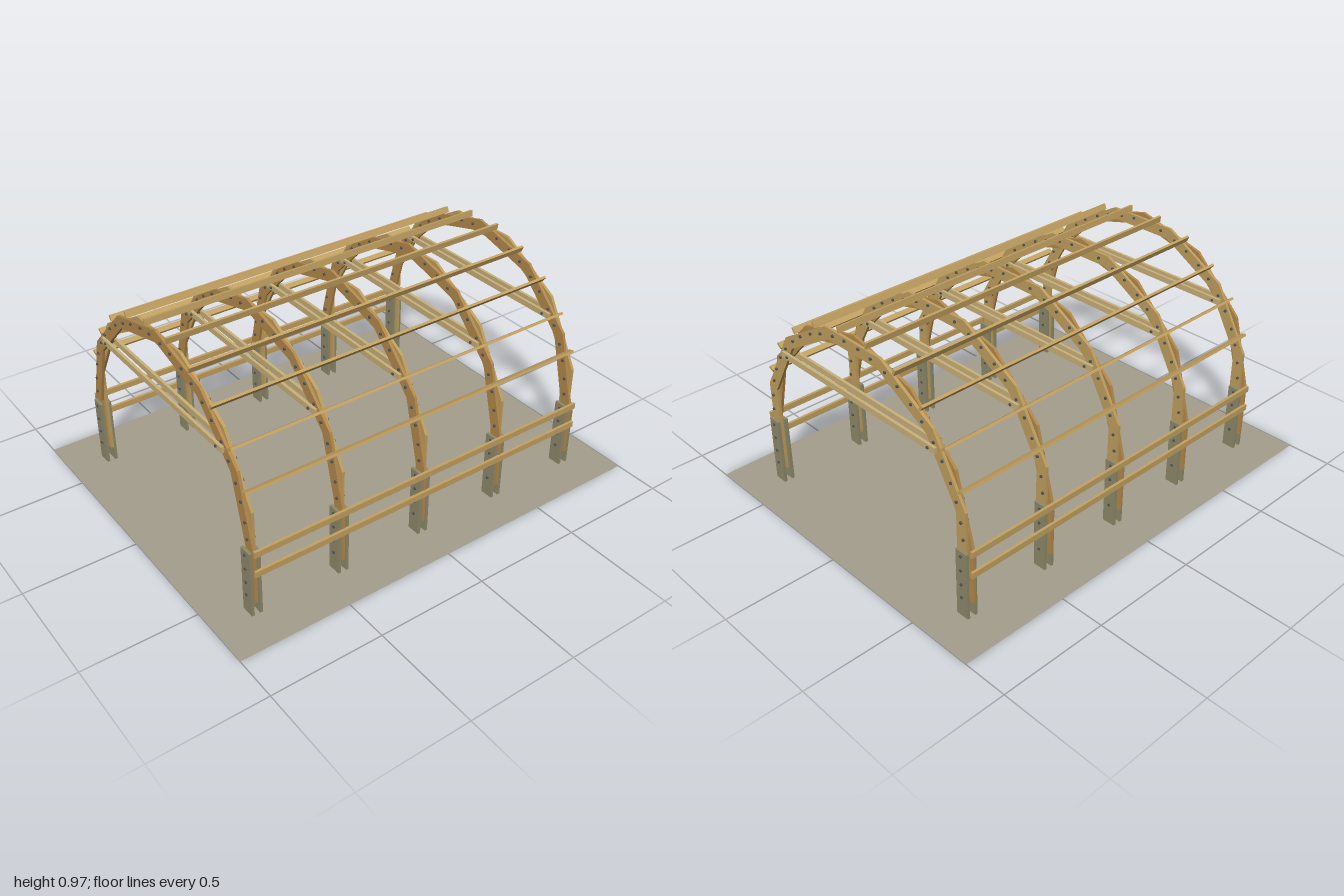
import * as THREE from 'three';

const mat = (color, side = THREE.FrontSide) =>
  new THREE.MeshStandardMaterial({ color, side, flatShading: true });
const archWood = mat(0xb58a4c), archWoodPale = mat(0xc2a05f), railWood = mat(0xc4a262);
const tieWood = mat(0xcbb27a), postWood = mat(0x8f8a6b), steel = mat(0x50555a);
const groundMat = mat(0xa59f8e, THREE.DoubleSide);

const CY = 0.32, R_OUT = 0.641, R_IN = 0.588; // arch centre height and radii
const T = 0.0125;                             // board thickness
const LEG_END = 0.07, END_Z = 0.816;
const rad = THREE.MathUtils.degToRad;

// point on the arch, angle in degrees from the crown
const polar = (r, deg) => new THREE.Vector2(r * Math.sin(rad(deg)), CY + r * Math.cos(rad(deg)));

function add(parent, name, geometry, material, x = 0, y = 0, z = 0) {
  const mesh = new THREE.Mesh(geometry, material);
  mesh.name = name;
  mesh.position.set(x, y, z);
  parent.add(mesh);
  return mesh;
}

// flat board cut to four corners
function board(parent, name, corners, z, material) {
  const geometry = new THREE.ExtrudeGeometry(new THREE.Shape(corners), { depth: T, bevelEnabled: false });
  return add(parent, name, geometry, material, 0, 0, z);
}

// one layer of mitred boards, ending in straight legs
function archLayer(parent, name, startDeg, z, material) {
  for (let a = -startDeg; a < startDeg; a += 30) {
    board(parent, name + 'Board',
      [polar(R_OUT, a), polar(R_OUT, a + 30), polar(R_IN, a + 30), polar(R_IN, a)], z, material);
  }
  for (const s of [-1, 1]) {
    const o = polar(R_OUT, s * startDeg), i = polar(R_IN, s * startDeg);
    board(parent, name + 'Leg',
      [o, i, new THREE.Vector2(i.x, LEG_END), new THREE.Vector2(o.x, LEG_END)], z, material);
  }
}

const boltGeometry = new THREE.CylinderGeometry(0.006, 0.006, 1, 8).rotateX(Math.PI / 2);
function bolt(parent, x, y, length) {
  add(parent, 'bolt', boltGeometry, steel, x, y).scale.z = length;
}

function createFrame() {
  const frame = new THREE.Group();
  frame.name = 'archFrame';
  // two layers with staggered joints
  archLayer(frame, 'frontArch', 90, 0, archWood);
  archLayer(frame, 'rearArch', 75, -T, archWoodPale);

  // paired post plates and tie beams on both faces
  for (const s of [-1, 1]) {
    const z = s * T * 1.5;
    for (const side of [-1, 1])
      add(frame, 'postPlate', new THREE.BoxGeometry(0.06, 0.31, T), postWood, side * 0.602, 0.155, z);
    add(frame, 'tieBeam', new THREE.BoxGeometry(0.95, 0.026, T), tieWood, 0, 0.692, z);
  }

  // bolts beside every joint, through the posts and through the tie ends
  for (const s of [-1, 1]) {
    for (let a = 0; a < 90; a += 15) {
      for (const d of [4, 11]) {
        const p = polar(0.608, s * (a + d));
        bolt(frame, p.x, p.y, 0.038);
      }
    }
    for (const y of [0.29, 0.222, 0.155, 0.092]) bolt(frame, s * 0.602, y, 0.06);
    bolt(frame, s * 0.437, 0.692, 0.06);
  }
  return frame;
}

export function createModel() {
  const model = new THREE.Group();
  model.name = 'archedTimberShelter';

  add(model, 'ground', new THREE.PlaneGeometry(1.6, 2).rotateX(-Math.PI / 2), groundMat);

  // five frames along the length
  for (let i = -2; i <= 2; i++) {
    const frame = createFrame();
    frame.position.z = i * END_Z / 2;
    model.add(frame);
  }

  const length = 2 * (END_Z + T);
  for (const s of [-1, 1]) {
    // roof battens standing on edge around the arch
    for (let a = 7.5; a < 70; a += 15) {
      const p = polar(0.642, s * a);
      add(model, 'roofBatten', new THREE.BoxGeometry(0.011, 0.027, length), railWood, p.x, p.y)
        .rotation.z = -rad(s * a);
    }
    // side rails
    for (const y of [0.313, 0.217])
      add(model, 'sideRail', new THREE.BoxGeometry(T, 0.027, length), railWood, s * 0.646, y);
  }
  return model;
}
